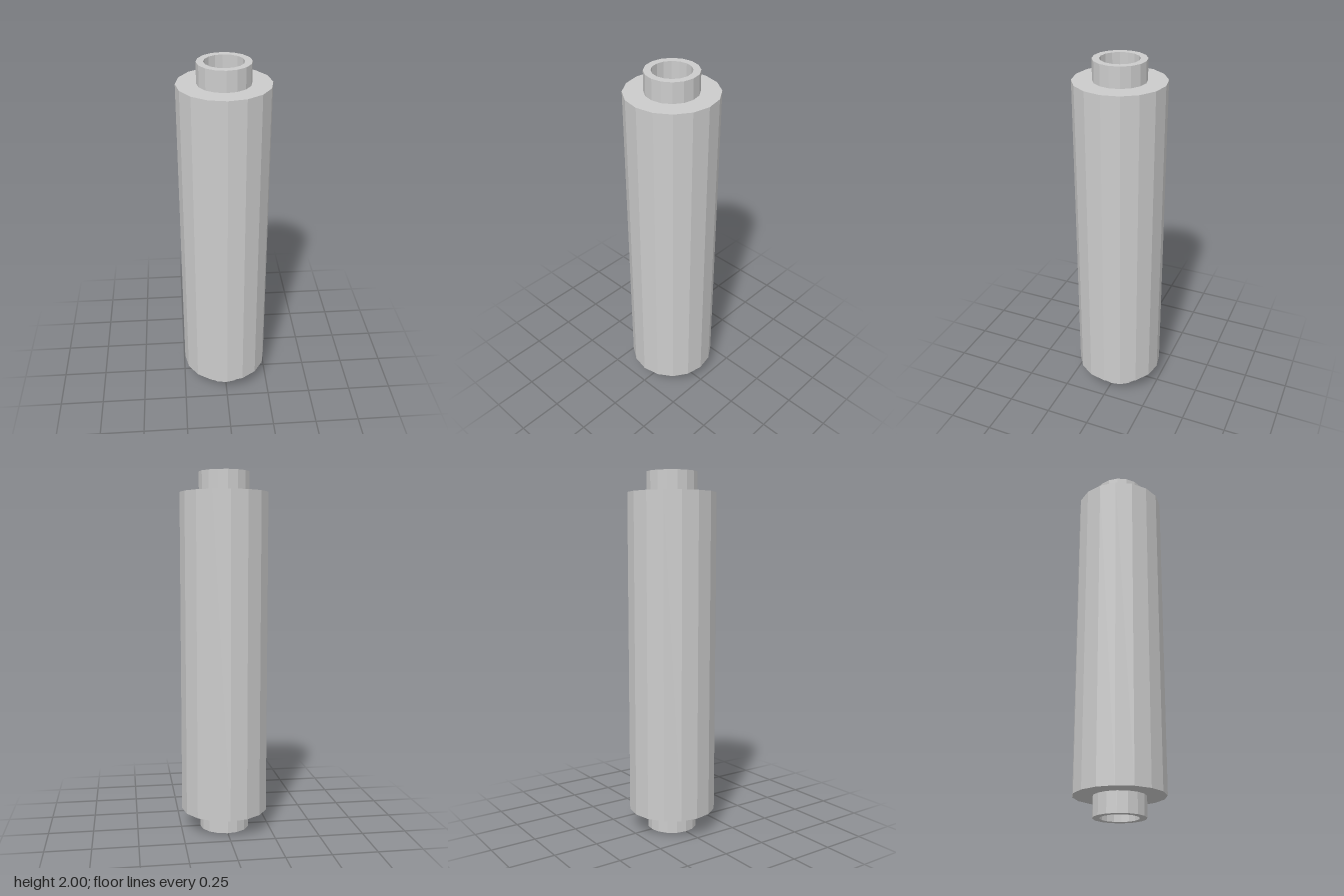
import * as THREE from 'three';

const SIDES = 16;
const HEIGHT = 2;
const BORE_RADIUS = 0.103;
const TUBE_RADIUS = 0.14;
const SLEEVE_RADIUS = 0.245;
const SLEEVE_BOTTOM = 0.11;
const SLEEVE_TOP = HEIGHT - SLEEVE_BOTTOM;

const material = new THREE.MeshStandardMaterial({ color: 0xcccccc, flatShading: true });

// Turns a [radius, height] profile into a faceted part
function turned(name, profile) {
  const points = profile.map(([r, y]) => new THREE.Vector2(r, y));
  const mesh = new THREE.Mesh(new THREE.LatheGeometry(points, SIDES), material);
  mesh.name = name;
  return mesh;
}

export function createModel() {
  const group = new THREE.Group();
  group.name = 'sleevedTube';

  // Hollow tube running the full height, open at both ends
  group.add(turned('innerTube', [
    [BORE_RADIUS, HEIGHT],
    [BORE_RADIUS, 0],
    [TUBE_RADIUS, 0],
    [TUBE_RADIUS, HEIGHT],
    [BORE_RADIUS, HEIGHT],
  ]));

  // Thick sleeve around the tube, with ring-shaped end faces
  group.add(turned('outerSleeve', [
    [TUBE_RADIUS, SLEEVE_BOTTOM],
    [SLEEVE_RADIUS, SLEEVE_BOTTOM],
    [SLEEVE_RADIUS, SLEEVE_TOP],
    [TUBE_RADIUS, SLEEVE_TOP],
  ]));

  return group;
}
